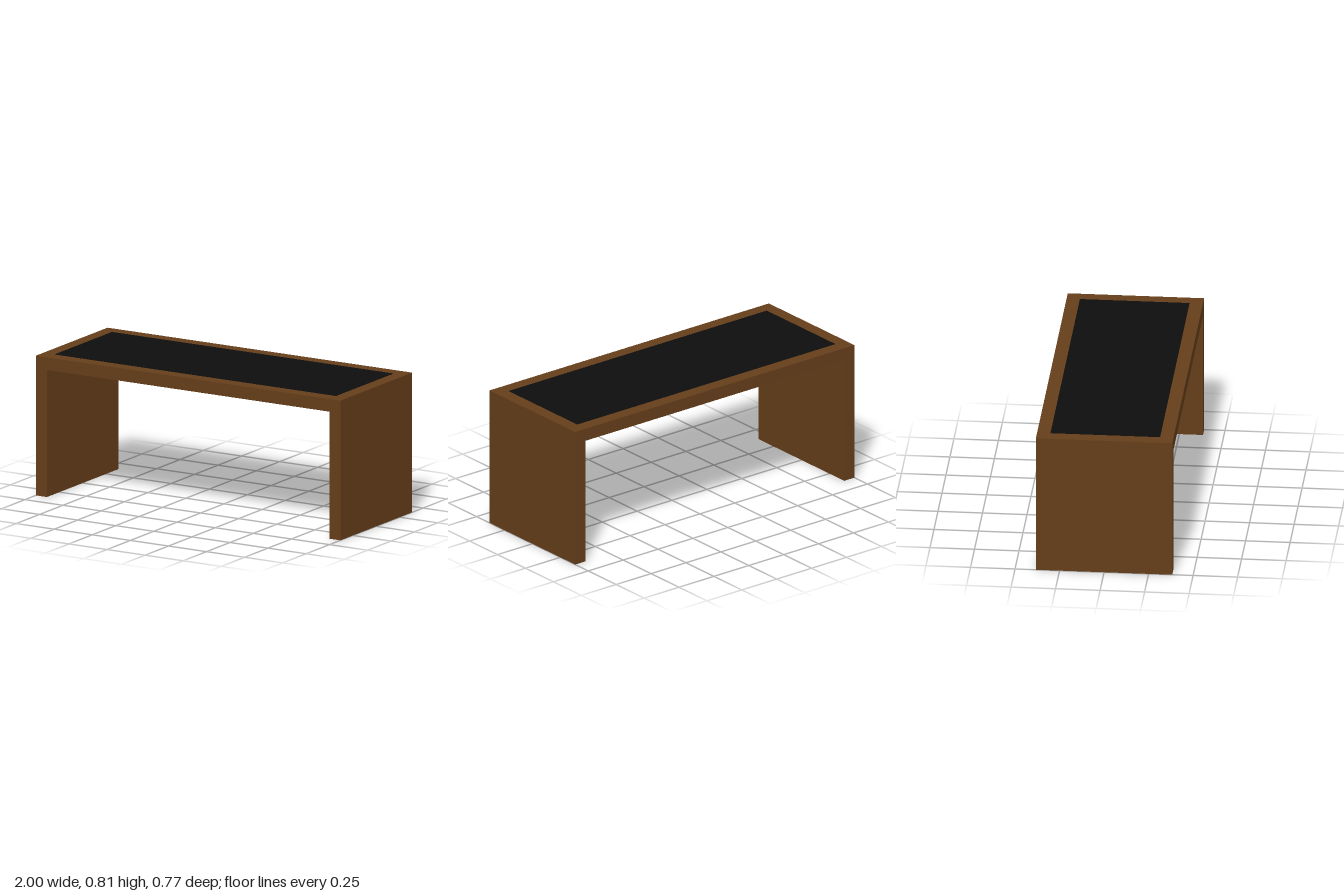
import * as THREE from 'three';

const HALF_W = 1, HEIGHT = 0.805, DEPTH = 0.766, THICK = 0.073;

export function createModel() {
  const group = new THREE.Group();
  group.name = 'desk';
  const wood = new THREE.MeshStandardMaterial({ color: 0x653e1a, flatShading: true });
  const black = new THREE.MeshStandardMaterial({ color: 0x0d0d0d, flatShading: true });

  // Top and both side panels: one U-shaped profile, extruded front to back
  const inner = HALF_W - THICK;
  const profile = new THREE.Shape([
    [-HALF_W, 0], [-inner, 0], [-inner, HEIGHT - THICK], [inner, HEIGHT - THICK],
    [inner, 0], [HALF_W, 0], [HALF_W, HEIGHT], [-HALF_W, HEIGHT],
  ].map(([x, y]) => new THREE.Vector2(x, y)));
  const frameGeometry = new THREE.ExtrudeGeometry(profile, { depth: DEPTH, bevelEnabled: false });
  frameGeometry.translate(0, 0, -DEPTH / 2);
  const frame = new THREE.Mesh(frameGeometry, wood);
  frame.name = 'deskFrame';
  group.add(frame);

  // Black writing surface, practically flush with the top
  const inlay = new THREE.Mesh(new THREE.PlaneGeometry(1.85, 0.616), black);
  inlay.rotation.x = -Math.PI / 2;
  inlay.position.y = HEIGHT + 0.001;
  inlay.name = 'writingSurface';
  group.add(inlay);

  return group;
}
